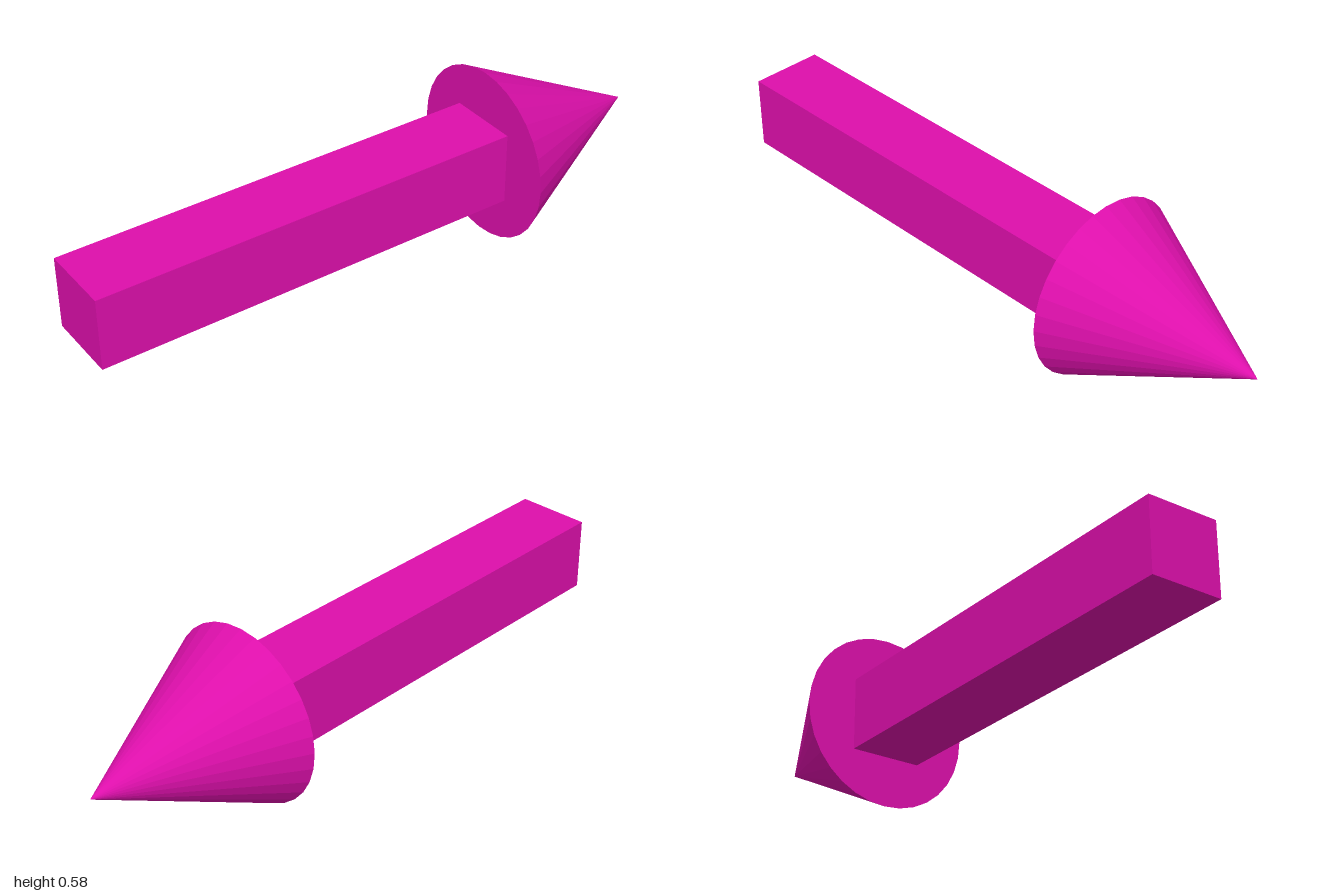
import * as THREE from 'three';

export function createModel() {
  const model = new THREE.Group();
  model.name = 'arrow';

  const material = new THREE.MeshStandardMaterial({ color: 0xdd0fab, flatShading: true });
  const radius = 0.288; // head radius, also the height of the arrow's axis
  const neckZ = -0.427; // where shaft and head meet
  const tailZ = 1;
  const tipZ = -1;

  // Square shaft
  const shaftLength = tailZ - neckZ;
  const shaft = new THREE.Mesh(new THREE.BoxGeometry(0.24, 0.24, shaftLength), material);
  shaft.name = 'shaft';
  shaft.position.set(0, radius, (tailZ + neckZ) / 2);
  model.add(shaft);

  // Conical head pointing to the back
  const headLength = neckZ - tipZ;
  const head = new THREE.Mesh(new THREE.ConeGeometry(radius, headLength, 32), material);
  head.name = 'head';
  head.rotation.x = -Math.PI / 2;
  head.position.set(0, radius, (neckZ + tipZ) / 2);
  model.add(head);

  return model;
}
